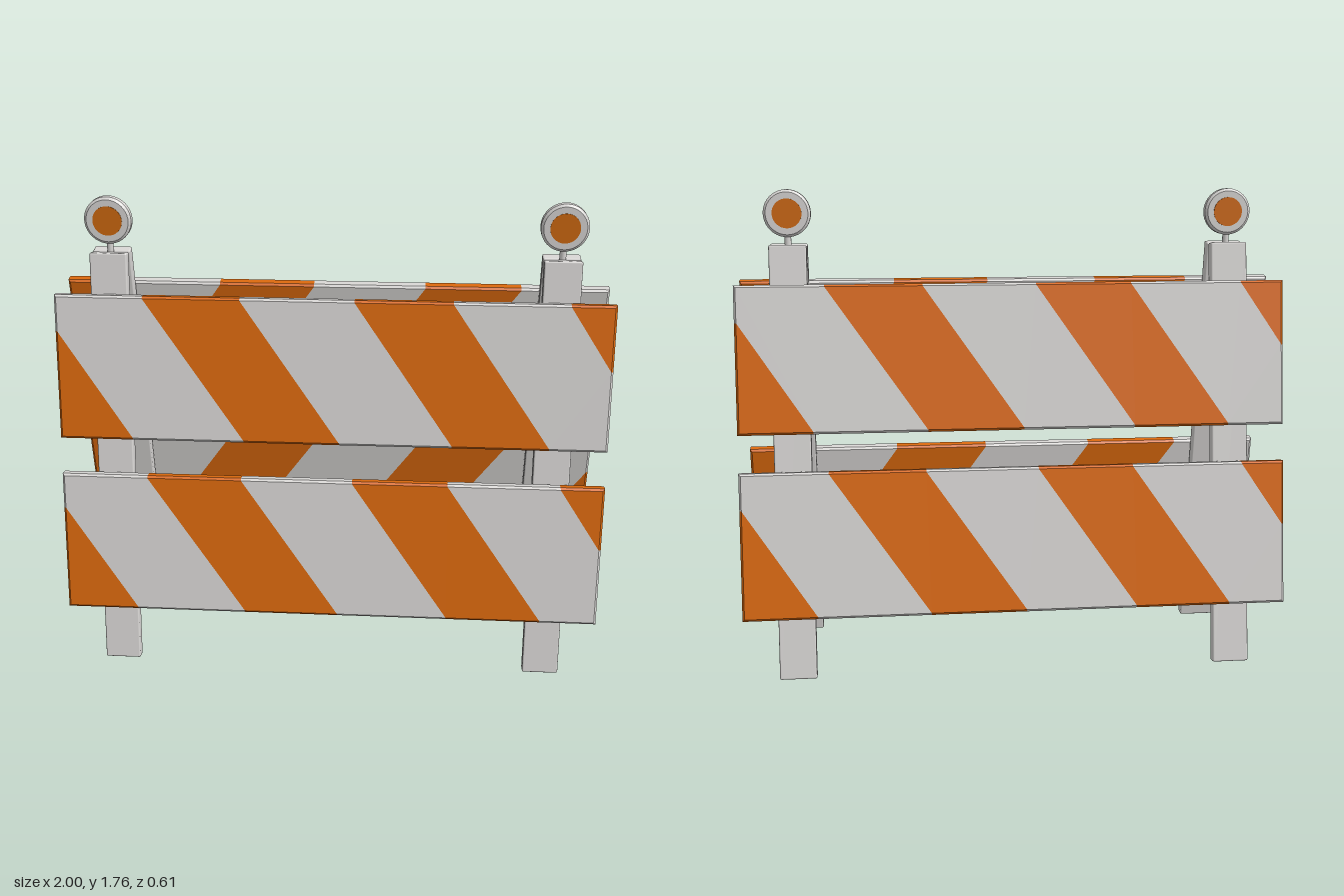
import * as THREE from 'three';
import { RoundedBoxGeometry } from 'three/addons/geometries/RoundedBoxGeometry.js';

const material = (name, color) => new THREE.MeshStandardMaterial({ name, color });

// Keep the part of a convex polygon on the inner side of x = side (side is +1 or -1)
function clipAtEnd(points, side) {
  const out = [];
  points.forEach((p, i) => {
    const q = points[(i + 1) % points.length];
    const dp = 1 - side * p.x, dq = 1 - side * q.x;
    if (dp >= 0) out.push(p);
    if (dp * dq < 0) out.push(p.clone().lerp(q, dp / (dp - dq)));
  });
  return out;
}

const HEIGHT = 0.534, DEPTH = 0.046, BEVEL = 0.008, SLANT = 0.36;

// One slanted band of a board, full thickness, with chamfered outer edges
function bandGeometry(left, right) {
  const h = HEIGHT / 2;
  let points = [
    new THREE.Vector2(left + SLANT, -h), new THREE.Vector2(right + SLANT, -h),
    new THREE.Vector2(right, h), new THREE.Vector2(left, h),
  ];
  points = clipAtEnd(clipAtEnd(points, 1), -1);
  const geometry = new THREE.ExtrudeGeometry(new THREE.Shape(points), { depth: 3, steps: 3, bevelEnabled: false });
  const layers = [-DEPTH / 2, -DEPTH / 2 + BEVEL, DEPTH / 2 - BEVEL, DEPTH / 2];
  const pos = geometry.attributes.position;
  for (let i = 0; i < pos.count; i++) {
    const layer = Math.round(pos.getZ(i));
    const inset = layer === 0 || layer === 3 ? BEVEL : 0;
    pos.setXYZ(i,
      THREE.MathUtils.clamp(pos.getX(i), -1 + inset, 1 - inset),
      THREE.MathUtils.clamp(pos.getY(i), -h + inset, h - inset),
      layers[layer]);
  }
  geometry.computeVertexNormals();
  return geometry;
}

export function createModel() {
  const white = material('off white', 0xd8d6d4);
  const orange = material('stripe orange', 0xdb690d);
  const amber = material('lens amber', 0xce690f);

  const model = new THREE.Group();
  model.name = 'barricade';
  const add = (parent, name, geometry, mat, x = 0, y = 0, z = 0) => {
    const mesh = new THREE.Mesh(geometry, mat);
    mesh.name = name;
    mesh.position.set(x, y, z);
    parent.add(mesh);
    return mesh;
  };

  const TILT = -0.147, LEG_X = 0.81;
  const legGeometry = new RoundedBoxGeometry(0.135, 1.581, 0.042, 2, 0.006);

  // Alternating bands across a board
  const bands = [];
  for (let k = -1; k <= 2; k++) {
    const start = -0.68 + 0.76 * k;
    bands.push(['orangeStripe', bandGeometry(start, start + 0.35), orange]);
    if (k < 2) bands.push(['whiteStripe', bandGeometry(start + 0.35, start + 0.76), white]);
  }

  // Two identical sides, the back one turned half way round
  ['frontSide', 'backSide'].forEach((name, i) => {
    const side = new THREE.Group();
    side.name = name;
    side.rotation.y = i * Math.PI;
    model.add(side);

    for (const x of [-LEG_X, LEG_X]) {
      add(side, 'leg', legGeometry, white, x, 0.785, 0.144).rotation.x = TILT;
    }

    for (const [boardName, y, z] of [['upperBoard', 1.167, 0.139], ['lowerBoard', 0.505, 0.242]]) {
      const board = new THREE.Group();
      board.name = boardName;
      board.position.set(0, y, z);
      board.rotation.x = TILT;
      for (const [bandName, geometry, mat] of bands) add(board, bandName, geometry, mat);
      side.add(board);
    }
  });

  // Lamp body profile: a disc with chamfered rims
  const lampProfile = [[0, -0.02], [0.076, -0.02], [0.085, -0.012], [0.085, 0.012], [0.076, 0.02], [0, 0.02]]
    .map(([r, y]) => new THREE.Vector2(r, y));
  const lampGeometry = new THREE.LatheGeometry(lampProfile, 40).toNonIndexed();
  lampGeometry.computeVertexNormals();
  const lensGeometry = new THREE.CylinderGeometry(0.053, 0.053, 0.004, 32);

  for (const x of [-LEG_X, LEG_X]) {
    // Brace between front and back legs
    add(model, 'crossBrace', new THREE.BoxGeometry(0.045, 0.133, 0.45), white, x, 0.217, 0);

    // Warning lamp with a lens on both faces
    const lamp = new THREE.Group();
    lamp.name = 'warningLamp';
    lamp.position.set(x, 1.68, 0);
    model.add(lamp);
    add(lamp, 'lampBody', lampGeometry, white).rotation.x = Math.PI / 2;
    add(lamp, 'lampStem', new THREE.CylinderGeometry(0.012, 0.012, 0.08, 16), white, 0, -0.115, 0);
    for (const z of [-0.02, 0.02]) {
      add(lamp, 'lens', lensGeometry, amber, 0, 0, z).rotation.x = Math.PI / 2;
    }
  }

  return model;
}
